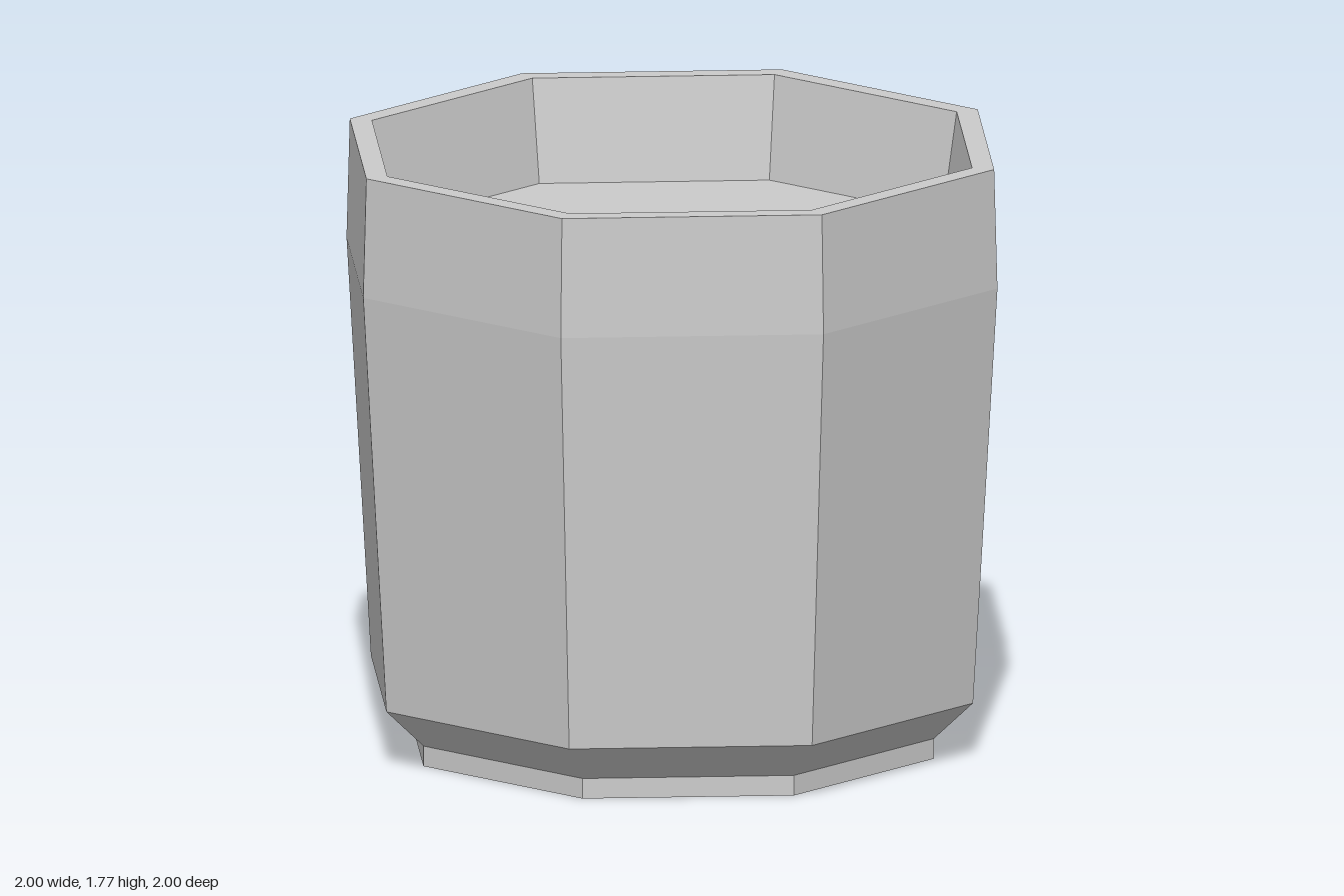
import * as THREE from 'three';

const SIDES = 8;

export function createModel() {
  const group = new THREE.Group();
  group.name = 'planter';
  const material = new THREE.MeshStandardMaterial({ color: 0xcccccc, flatShading: true });

  // Octagonal pot: underside, foot, chamfer, flared wall, rim and inner wall
  const profile = [
    [0, 0], [0.805, 0], [0.805, 0.06], [0.925, 0.175], [1, 1.42],
    [0.99, 1.775], [0.922, 1.775], [0.876, 1.47],
  ].map(([r, y]) => new THREE.Vector2(r, y));
  const pot = new THREE.Mesh(new THREE.LatheGeometry(profile, SIDES), material);
  pot.name = 'pot';
  group.add(pot);

  // Flat fill closing the inside below the rim
  const fill = new THREE.Mesh(new THREE.CircleGeometry(0.876, SIDES), material);
  fill.name = 'fill';
  fill.rotation.x = -Math.PI / 2;
  fill.position.y = 1.47;
  group.add(fill);

  return group;
}
